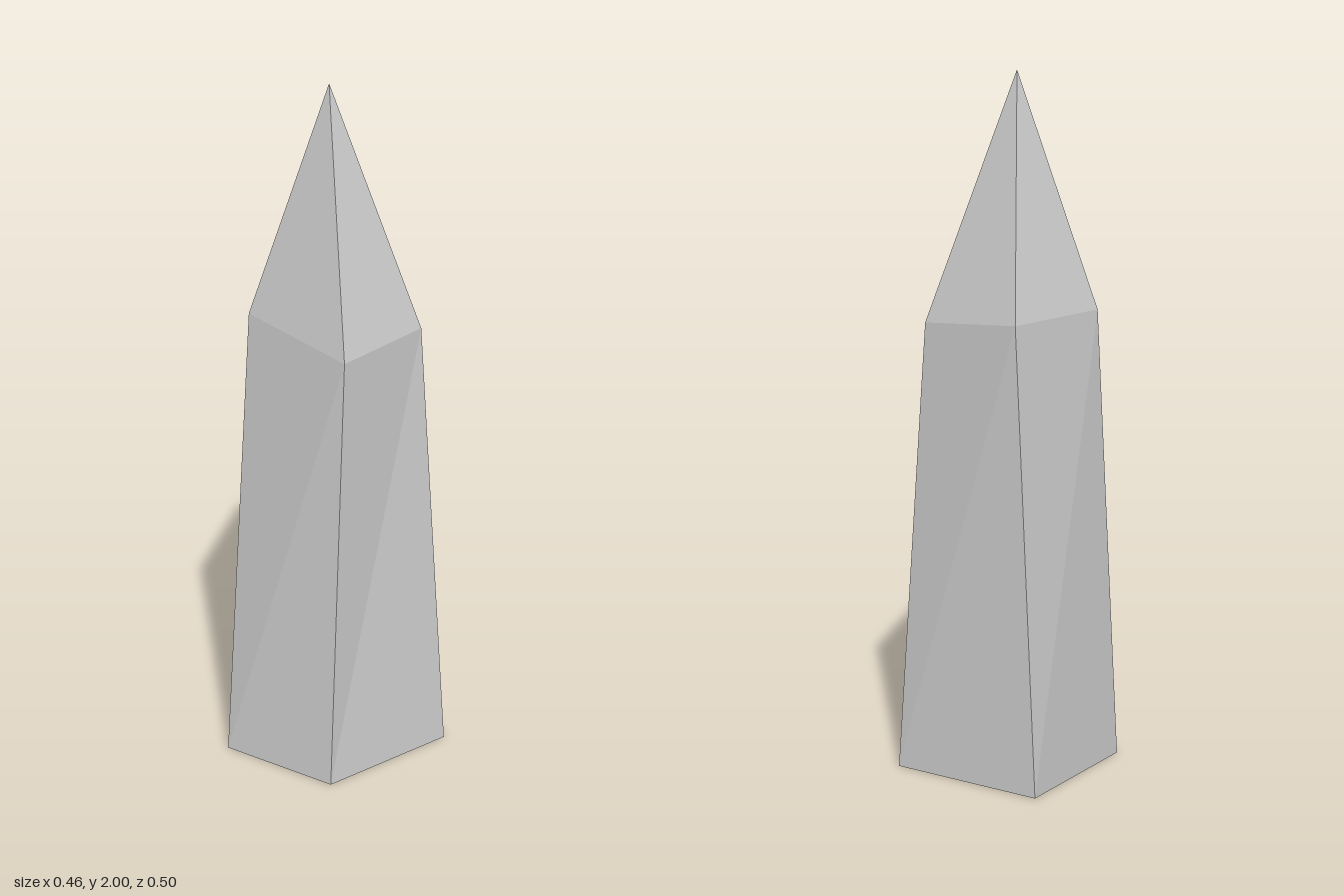
import * as THREE from 'three';

// Builds a flat-shaded surface from rings of corners (anticlockwise seen from above)
function ringSurface(rings, { apex, floor }) {
  const points = [];
  const tri = (a, b, c) => points.push(...a, ...b, ...c);
  const n = rings[0].length;
  for (let i = 0; i < n; i++) {
    const j = (i + 1) % n;
    for (let r = 0; r + 1 < rings.length; r++) {
      const low = rings[r], high = rings[r + 1];
      tri(low[i], low[j], high[j]);
      tri(low[i], high[j], high[i]);
    }
    if (apex) tri(rings.at(-1)[i], rings.at(-1)[j], apex);
    if (floor && i > 0 && i < n - 1) tri(rings[0][0], rings[0][j], rings[0][i]);
  }
  const geometry = new THREE.BufferGeometry();
  geometry.setAttribute('position', new THREE.Float32BufferAttribute(points, 3));
  geometry.computeVertexNormals();
  return geometry;
}

export function createModel() {
  const group = new THREE.Group();
  group.name = 'crystalSpike';
  const material = new THREE.MeshStandardMaterial({ color: 0xcccccc, flatShading: true });

  // Corners run back right, front right, front left, back left
  const base = [[-0.23, 0, -0.182], [-0.183, 0, 0.247], [0.179, 0, 0.18], [0.229, 0, -0.249]];
  const shoulder = [[-0.177, 1.34, -0.205], [-0.188, 1.34, 0.133], [0.189, 1.295, 0.138], [0.168, 1.305, -0.187]];

  // Irregular tapering four-sided shaft, closed underneath
  const shaft = new THREE.Mesh(ringSurface([base, shoulder], { floor: true }), material);
  shaft.name = 'shaft';

  // Pointed tip rising from the uneven shoulder
  const tip = new THREE.Mesh(ringSurface([shoulder], { apex: [-0.013, 2, -0.007] }), material);
  tip.name = 'tip';

  group.add(shaft, tip);
  return group;
}
